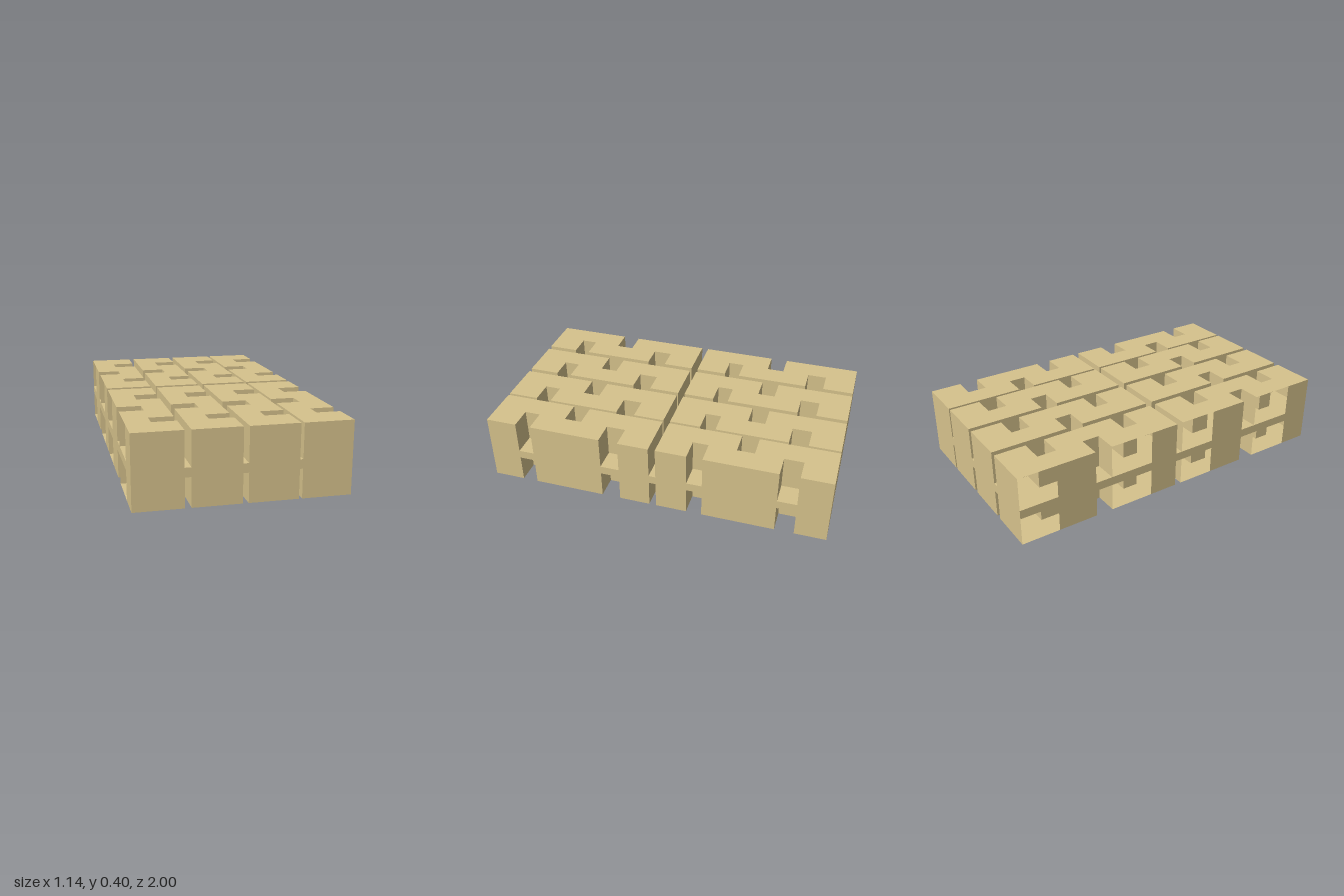
import * as THREE from 'three';

const material = new THREE.MeshStandardMaterial({ color: 0xd6c28c, flatShading: true, side: THREE.DoubleSide });
const columns = [[-0.57, -0.306], [-0.272, -0.01], [0.02, 0.286], [0.303, 0.57]];
const rows = [[-1, -0.02], [0.02, 1]];
const layers = [['upper', 0.21, 0.4], ['lower', 0.16, 0]];
const depth = 0.133; // notch depth

// Outline of one block in x/z: one notch on its -x side, two on its +x side
function outline([x0, x1], [z0, z1]) {
  const l = x0 + depth, r = x1 - depth;
  const p = (x, d) => new THREE.Vector2(x, z0 + d);
  return [
    p(x0, 0), p(x0, 0.22), p(x0, 0.45), p(l, 0.45), p(l, 0.55), p(x0, 0.55), p(x0, 0.81), p(x0, z1 - z0),
    p(x1, z1 - z0), p(x1, 0.8), p(r, 0.8), p(r, 0.71), p(x1, 0.71),
    p(x1, 0.29), p(r, 0.29), p(r, 0.18), p(x1, 0.18), p(x1, 0),
  ];
}

// Thin-walled block: side walls from the web to the outer face, then the outer cap
function block(points, inner, outer, openWalls) {
  const group = new THREE.Group();
  const pos = [];
  points.forEach((a, i) => {
    if (openWalls.includes(i)) return;
    const b = points[(i + 1) % points.length];
    const lo = Math.min(inner, outer), hi = Math.max(inner, outer);
    // corners run so that the wall faces outward
    const A = [a.x, lo, a.y], B = [b.x, lo, b.y], C = [b.x, hi, b.y], D = [a.x, hi, a.y];
    pos.push(...A, ...B, ...C, ...A, ...C, ...D);
  });
  const walls = new THREE.BufferGeometry();
  walls.setAttribute('position', new THREE.Float32BufferAttribute(pos, 3));
  walls.computeVertexNormals();
  const wallMesh = new THREE.Mesh(walls, material);
  wallMesh.name = 'blockWalls';

  const up = outer > inner;
  const flat = points.map((p) => new THREE.Vector2(p.x, up ? -p.y : p.y));
  const cap = new THREE.ShapeGeometry(new THREE.Shape(flat));
  cap.rotateX(up ? -Math.PI / 2 : Math.PI / 2).translate(0, outer, 0);
  const capMesh = new THREE.Mesh(cap, material);
  capMesh.name = 'blockCap';
  group.add(wallMesh, capMesh);
  return group;
}

export function createModel() {
  const model = new THREE.Group();
  model.name = 'notchedBlockPanel';

  // Thin web joining all the blocks
  const web = new THREE.Mesh(new THREE.BoxGeometry(1.14, 0.05, 2), material);
  web.name = 'web';
  web.position.y = 0.185;
  model.add(web);

  // Blocks above and below the web; the first column has open wall panels on its outer side
  for (const [layer, inner, outer] of layers) {
    columns.forEach((xs, c) => rows.forEach((zs, r) => {
      const b = block(outline(xs, zs), inner, outer, c === 0 ? [0, 5] : []);
      b.name = `${layer}Block${c + 1}${r + 1}`;
      model.add(b);
    }));
  }
  return model;
}
